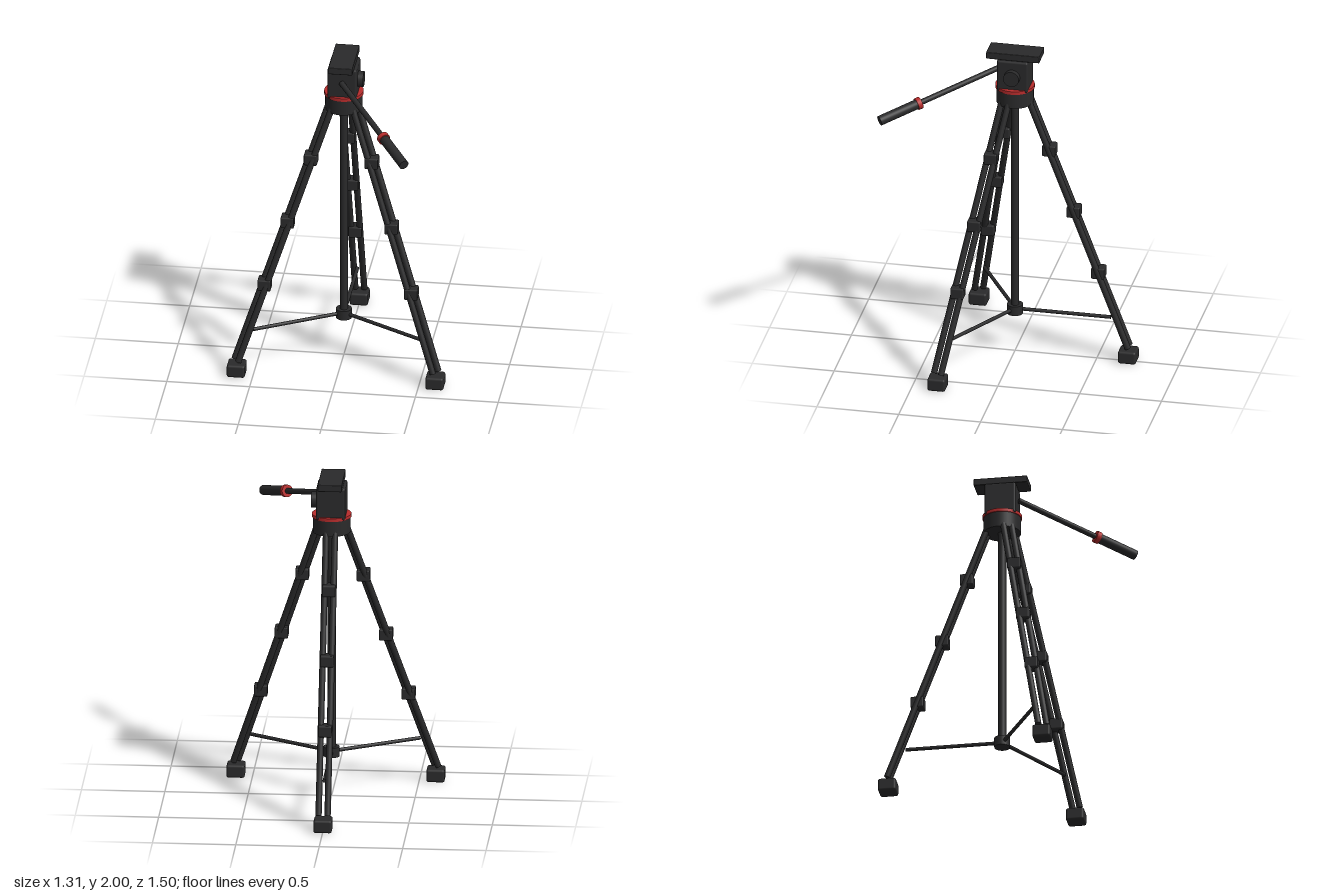
import * as THREE from 'three';
import { RoundedBoxGeometry } from 'three/addons/geometries/RoundedBoxGeometry.js';

const charcoal = new THREE.MeshStandardMaterial({ color: 0x2a2a2b });
charcoal.name = 'charcoal';
const red = new THREE.MeshStandardMaterial({ color: 0xb82c2c });
red.name = 'red';

const V = (x, y, z) => new THREE.Vector3(x, y, z);

function add(parent, name, geometry, material, position) {
  const mesh = new THREE.Mesh(geometry, material);
  mesh.name = name;
  if (position) mesh.position.copy(position);
  parent.add(mesh);
  return mesh;
}

// Round bar between two points
function bar(parent, name, a, b, radius, material = charcoal, sides = 20) {
  const dir = b.clone().sub(a);
  const mesh = add(parent, name, new THREE.CylinderGeometry(radius, radius, dir.length(), sides),
    material, a.clone().add(b).multiplyScalar(0.5));
  mesh.quaternion.setFromUnitVectors(V(0, 1, 0), dir.normalize());
  return mesh;
}

const box = (w, h, d, r) => new RoundedBoxGeometry(w, h, d, 2, r);

export function createModel() {
  const model = new THREE.Group();
  model.name = 'tripod';

  // Three splayed legs: back, front left, front right
  const legRadiusAt = (y) => 0.692 - (y - 0.1) * 0.381;
  [-Math.PI / 2, Math.PI / 6, Math.PI * 5 / 6].forEach((angle) => {
    const leg = new THREE.Group();
    leg.name = 'leg';
    model.add(leg);
    const c = Math.cos(angle), s = Math.sin(angle);
    const at = (r, y, side = 0) => V(c * r - s * side, y, s * r + c * side);

    // Twin tubes
    for (const side of [-0.027, 0.027]) {
      bar(leg, 'legTube', at(legRadiusAt(0.095), 0.095, side), at(legRadiusAt(1.71), 1.71, side), 0.019);
    }
    // Clamps joining the tubes
    for (const y of [1.36, 0.967, 0.575]) {
      add(leg, 'legClamp', box(0.08, 0.07, 0.08, 0.008), charcoal, at(legRadiusAt(y), y));
    }
    // Foot and spreader arm
    add(leg, 'foot', box(0.11, 0.08, 0.11, 0.014), charcoal, at(0.692, 0.04));
    bar(leg, 'spreaderArm', at(0, 0.28), at(0.586, 0.28), 0.011);
  });

  // Centre column and spreader hub
  bar(model, 'centreColumn', V(0, 0.27, 0), V(0, 1.7, 0), 0.025, charcoal, 24);
  bar(model, 'spreaderHub', V(0, 0.25, 0), V(0, 0.31, 0), 0.048, charcoal, 24);

  // Collar with red ring
  bar(model, 'collar', V(0, 1.66, 0), V(0, 1.758, 0), 0.112, charcoal, 40);
  bar(model, 'collarRing', V(0, 1.755, 0), V(0, 1.775, 0), 0.118, red, 40);

  // Head, side knob and mounting plate
  add(model, 'head', box(0.175, 0.2, 0.19, 0.012), charcoal, V(0, 1.857, 0));
  bar(model, 'tiltKnob', V(0.08, 1.857, 0), V(0.121, 1.857, 0), 0.048, charcoal, 32);
  add(model, 'mountingPlate', box(0.145, 0.043, 0.325, 0.005), charcoal, V(0, 1.9785, 0));

  // Pan handle
  const start = V(0, 1.87, 0.1), end = V(0.463, 1.673, 0.73);
  const along = (t) => start.clone().lerp(end, t);
  const handle = new THREE.Group();
  handle.name = 'panHandle';
  model.add(handle);
  bar(handle, 'handleRod', along(0), along(0.75), 0.017);
  bar(handle, 'handleRing', along(0.655), along(0.69), 0.037, red, 28);
  bar(handle, 'handleGrip', along(0.69), along(1), 0.03, charcoal, 28);

  return model;
}
